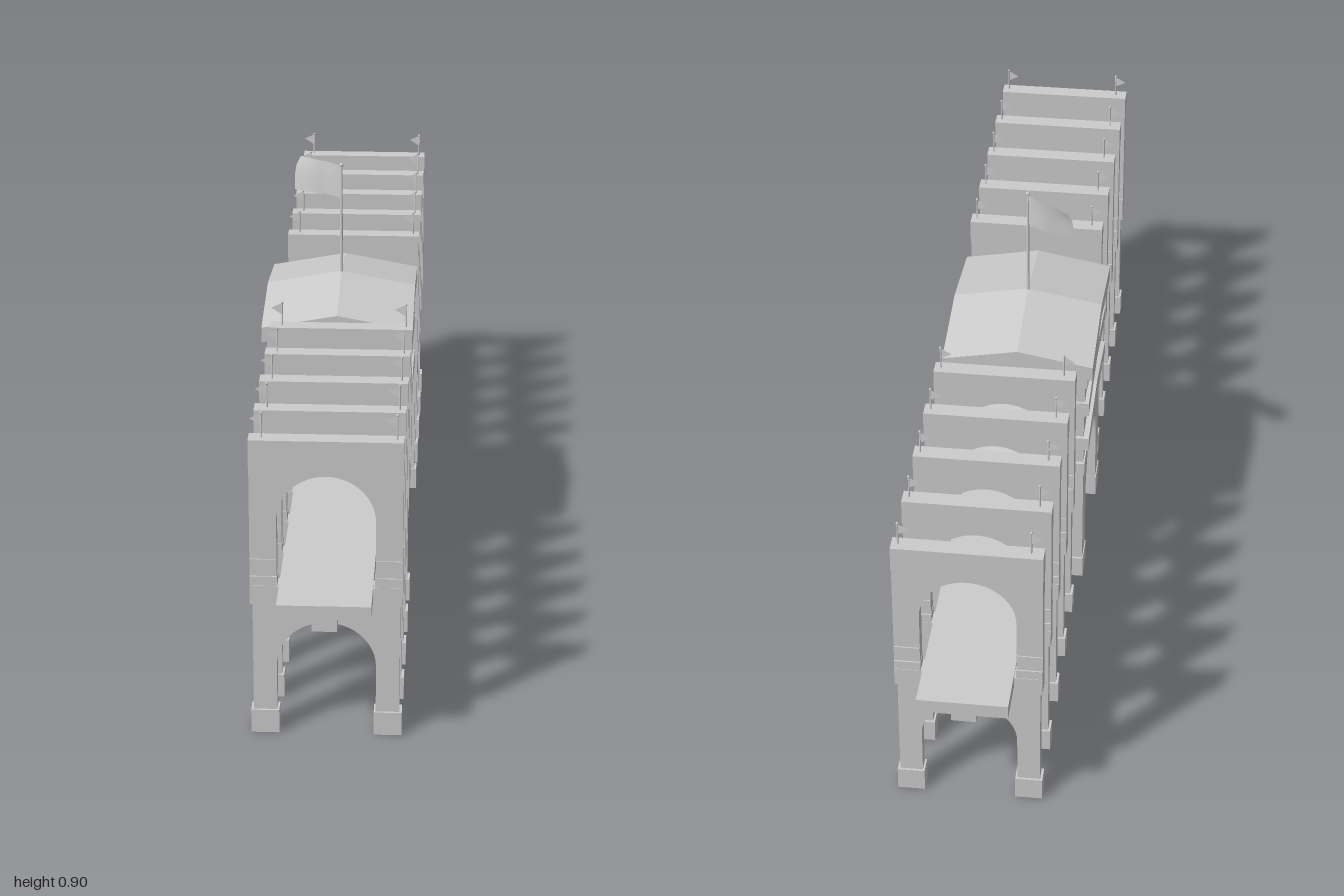
import * as THREE from 'three';

const mat = new THREE.MeshStandardMaterial({ color: 0xcccccc, flatShading: true });
const thin = new THREE.MeshStandardMaterial({ color: 0xcccccc, side: THREE.DoubleSide });

function add(parent, name, geo, x = 0, y = 0, z = 0, material = mat) {
  const m = new THREE.Mesh(geo, material);
  m.name = name;
  m.position.set(x, y, z);
  parent.add(m);
  return m;
}

// Box folded down from its middle: dropX / dropZ are the falls at the x and z ends
function folded(w, h, d, dropX, dropZ) {
  const g = new THREE.BoxGeometry(w, h, d, 2, 1, 2);
  const p = g.attributes.position;
  for (let i = 0; i < p.count; i++) {
    const fall = dropX * Math.abs(p.getX(i)) * 2 / w + dropZ * Math.abs(p.getZ(i)) * 2 / d;
    p.setY(i, p.getY(i) - fall);
  }
  g.computeVertexNormals();
  return g;
}

// Wall outline standing on two legs with a round-headed opening; peak raises the top middle
function archShape(half, open, spring, rise, top, peak = 0) {
  const s = new THREE.Shape();
  s.moveTo(-half, 0);
  s.lineTo(-open, 0);
  s.lineTo(-open, spring);
  s.absellipse(0, spring, open, rise, Math.PI, 0, true);
  s.lineTo(open, 0);
  s.lineTo(half, 0);
  s.lineTo(half, top);
  if (peak) s.lineTo(0, top + peak);
  s.lineTo(-half, top);
  s.closePath();
  return s;
}

function extrude(shape, depth) {
  const g = new THREE.ExtrudeGeometry(shape, { depth, bevelEnabled: false, curveSegments: 20 });
  return g.translate(0, 0, -depth / 2);
}

// One two-storey bridge frame, centred on its own axis
function bridgeFrame() {
  const f = new THREE.Group();
  f.name = 'bridgeFrame';
  add(f, 'lowerArch', extrude(archShape(0.145, 0.098, 0.15, 0.095, 0.3), 0.026));
  const upper = archShape(0.15, 0.097, 0.164, 0.096, 0.335);
  add(f, 'upperArch', extrude(upper, 0.028), 0, 0.3, 0);
  add(f, 'middleBelt', new THREE.BoxGeometry(0.3, 0.04, 0.036), 0, 0.305, 0);
  add(f, 'topBeam', new THREE.BoxGeometry(0.301, 0.055, 0.036), 0, 0.6075, 0);
  for (const s of [-1, 1]) {
    add(f, 'foot', new THREE.BoxGeometry(0.056, 0.05, 0.036), s * 0.122, 0.025, 0);
    add(f, 'postCollar', new THREE.BoxGeometry(0.054, 0.02, 0.034), s * 0.123, 0.335, 0);
    add(f, 'impost', new THREE.BoxGeometry(0.052, 0.014, 0.033), s * 0.124, 0.375, 0);
    // pennant on its staff
    const x = s * 0.131 + 0.006;
    add(f, 'pennantStaff', new THREE.CylinderGeometry(0.0018, 0.0018, 0.05, 8), x, 0.66, 0);
    add(f, 'pennantKnob', new THREE.SphereGeometry(0.003, 8, 6), x, 0.685, 0);
    const tri = new THREE.Shape([[0, 0.658], [0, 0.684], [-0.024, 0.672]].map(p => new THREE.Vector2(...p)));
    const pen = add(f, 'pennant', new THREE.ShapeGeometry(tri), x, 0, 0, thin);
    pen.rotation.y = -0.15;
  }
  return f;
}

function tower() {
  const t = new THREE.Group();
  t.name = 'tower';
  for (const s of [-1, 1]) {
    // side wall: arch below, two overhanging storeys above
    const wall = extrude(archShape(0.18, 0.118, 0.185, 0.115, 0.31, 0.025), 0.035).rotateY(Math.PI / 2);
    add(t, 'sideArch', wall, s * 0.1285);
    for (const e of [-1, 1])
      add(t, 'towerFoot', new THREE.BoxGeometry(0.04, 0.05, 0.068), s * 0.128, 0.025, e * 0.151);
    add(t, 'firstStoreyWall', folded(0.034, 0.16, 0.362, 0, 0.025), s * 0.129, 0.41, 0);
    add(t, 'secondStoreyWall', folded(0.034, 0.13, 0.366, 0, 0.028), s * 0.131, 0.54, 0);
    for (const [y, x] of [[0.33, 0.131], [0.4, 0.14], [0.495, 0.139]])
      add(t, 'sideLedge', folded(0.036, 0.032, 0.376, 0, 0.025), s * x, y, 0);
    // gable ends above the passage
    add(t, 'endWall', folded(0.28, 0.12, 0.012, 0.03, 0), 0, 0.555, s * 0.176);
    add(t, 'endLedge', folded(0.3, 0.025, 0.022, 0.04, 0), 0, 0.503, s * 0.178);
  }
  add(t, 'passageFloor', folded(0.22, 0.03, 0.38, 0, 0.028), 0, 0.345, 0);
  // layered hipped roof
  add(t, 'cornice', folded(0.308, 0.03, 0.384, 0.03, 0.03), 0, 0.603, 0);
  add(t, 'roof', folded(0.326, 0.034, 0.4, 0.03, 0.03), -0.002, 0.633, 0);
  return t;
}

// Flag cloth swept backwards in a gentle wave
function flagCloth() {
  const path = new THREE.CatmullRomCurve3([[0, 0], [-0.035, -0.028], [-0.07, -0.042], [-0.105, -0.062]]
    .map(([x, z]) => new THREE.Vector3(x, 0, z)));
  const g = new THREE.PlaneGeometry(1, 0.073, 16, 4);
  const p = g.attributes.position;
  for (let i = 0; i < p.count; i++) {
    const u = p.getX(i) + 0.5;
    const c = path.getPoint(u);
    const v = p.getY(i) / 0.0365;
    p.setXYZ(i, c.x + 0.012 * u * v * v * (v < 0 ? 0 : 1), p.getY(i), c.z - 0.006 * u * v);
  }
  g.computeVertexNormals();
  return g;
}

export function createModel() {
  const model = new THREE.Group();
  model.name = 'archedBridge';

  for (const s of [-1, 1]) {
    // deck, its kerb and the beam beneath on each side of the tower
    add(model, 'deck', new THREE.BoxGeometry(0.184, 0.03, 0.82), 0.012, 0.315, s * 0.59);
    add(model, 'deckBeam', new THREE.BoxGeometry(0.05, 0.036, 0.8), 0.012, 0.283, s * 0.58);
    for (const z of [0.295, 0.445, 0.592, 0.742, 0.89]) {
      const f = bridgeFrame();
      f.position.set(0.012, 0, s * z);
      model.add(f);
    }
  }

  model.add(tower());

  add(model, 'flagPole', new THREE.CylinderGeometry(0.0025, 0.0035, 0.26, 10), -0.002, 0.765, 0);
  add(model, 'flagPoleCap', new THREE.SphereGeometry(0.0045, 10, 8), -0.002, 0.895, 0);
  add(model, 'flag', flagCloth(), -0.002, 0.856, 0, thin);
  return model;
}
